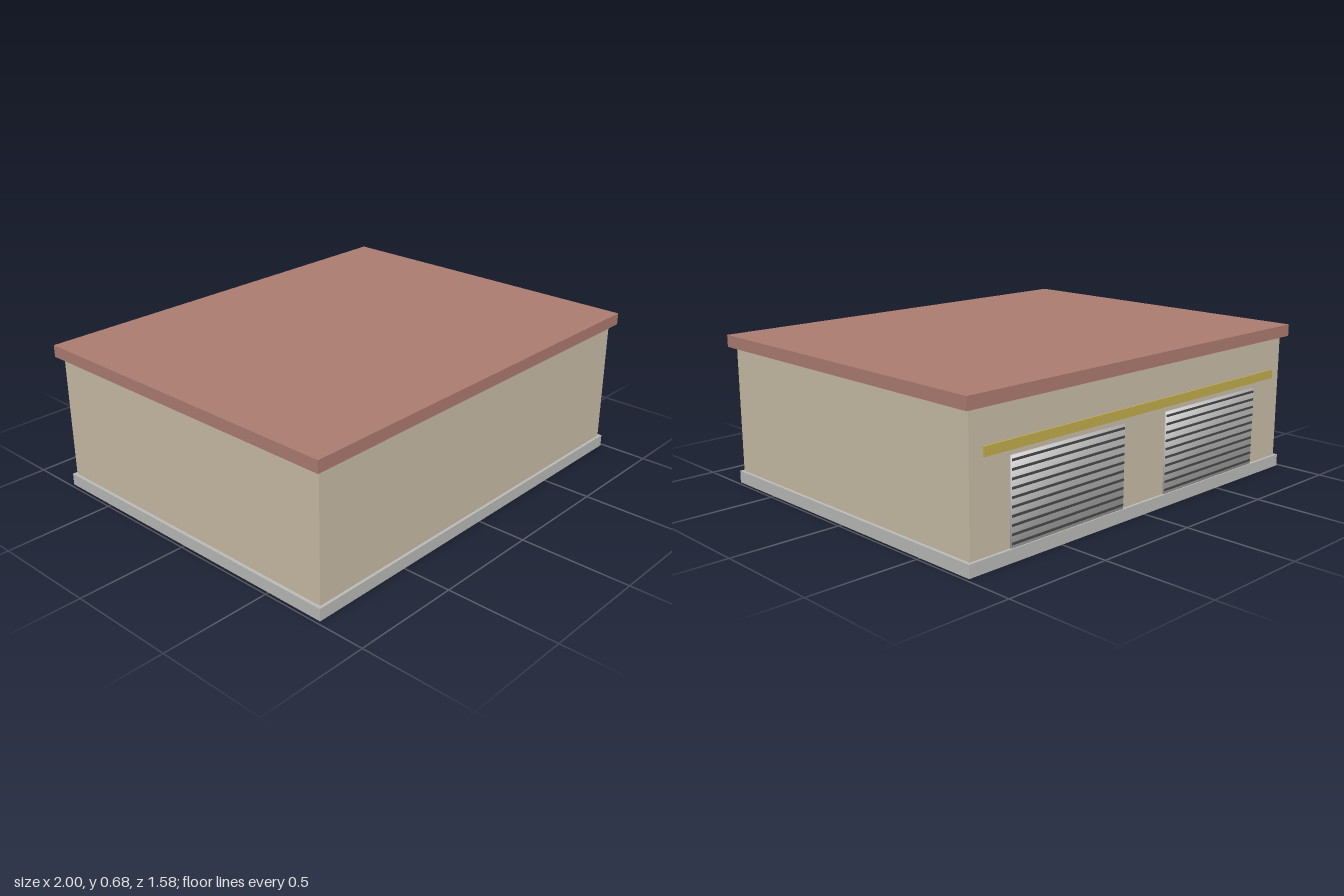
import * as THREE from 'three';

const paint = (name, color) => {
  const material = new THREE.MeshStandardMaterial({ color });
  material.name = name;
  return material;
};

export function createModel() {
  const model = new THREE.Group();
  model.name = 'garage';

  const concrete = paint('concrete', 0xb9b9b7);
  const plaster = paint('beige plaster', 0xc9bca6);
  const roofing = paint('red roofing', 0xac7b70);
  const metal = paint('light metal', 0xc4c4c4);
  const groove = paint('dark groove', 0x484848);
  const trim = paint('yellow trim', 0xc0ac4c);

  // Box spanning y0 to y1, centred on x and z
  const box = (parent, name, material, w, y0, y1, d, x = 0, z = 0) => {
    const mesh = new THREE.Mesh(new THREE.BoxGeometry(w, y1 - y0, d), material);
    mesh.name = name;
    mesh.position.set(x, (y0 + y1) / 2, z);
    parent.add(mesh);
    return mesh;
  };

  // Main body
  box(model, 'foundation', concrete, 1.97, 0, 0.055, 1.554);
  box(model, 'walls', plaster, 1.94, 0.055, 0.628, 1.528);
  box(model, 'roofSlab', roofing, 2, 0.628, 0.682, 1.58);

  // Two roller doors on the back, softly shaded, with dark horizontal ribs
  const bottom = 0.055, top = 0.417, ribs = 10;
  for (const side of [1, -1]) {
    const door = new THREE.Group();
    door.name = side > 0 ? 'leftDoor' : 'rightDoor';
    door.position.set(side * 0.45, 0, -0.767);
    model.add(door);

    const panel = box(door, 'doorPanel', metal, 0.635, bottom, top, 0.008);
    const { position, normal } = panel.geometry.attributes;
    const n = new THREE.Vector3();
    for (let i = 0; i < position.count; i++) {
      n.set(Math.sign(position.getX(i)), Math.sign(position.getY(i)), Math.sign(position.getZ(i))).normalize();
      normal.setXYZ(i, n.x, n.y, n.z);
    }

    const pitch = (top - bottom) / ribs;
    for (let i = 0; i < ribs; i++) {
      const y = bottom + (i + 0.5) * pitch;
      box(door, 'doorRib', groove, 0.631, y - 0.005, y + 0.005, 0.003, 0, -0.005);
    }
  }

  // Trim bar over the doors, just clear of the wall
  box(model, 'trimBar', trim, 1.81, 0.44, 0.48, 0.007, 0, -0.772);

  return model;
}
